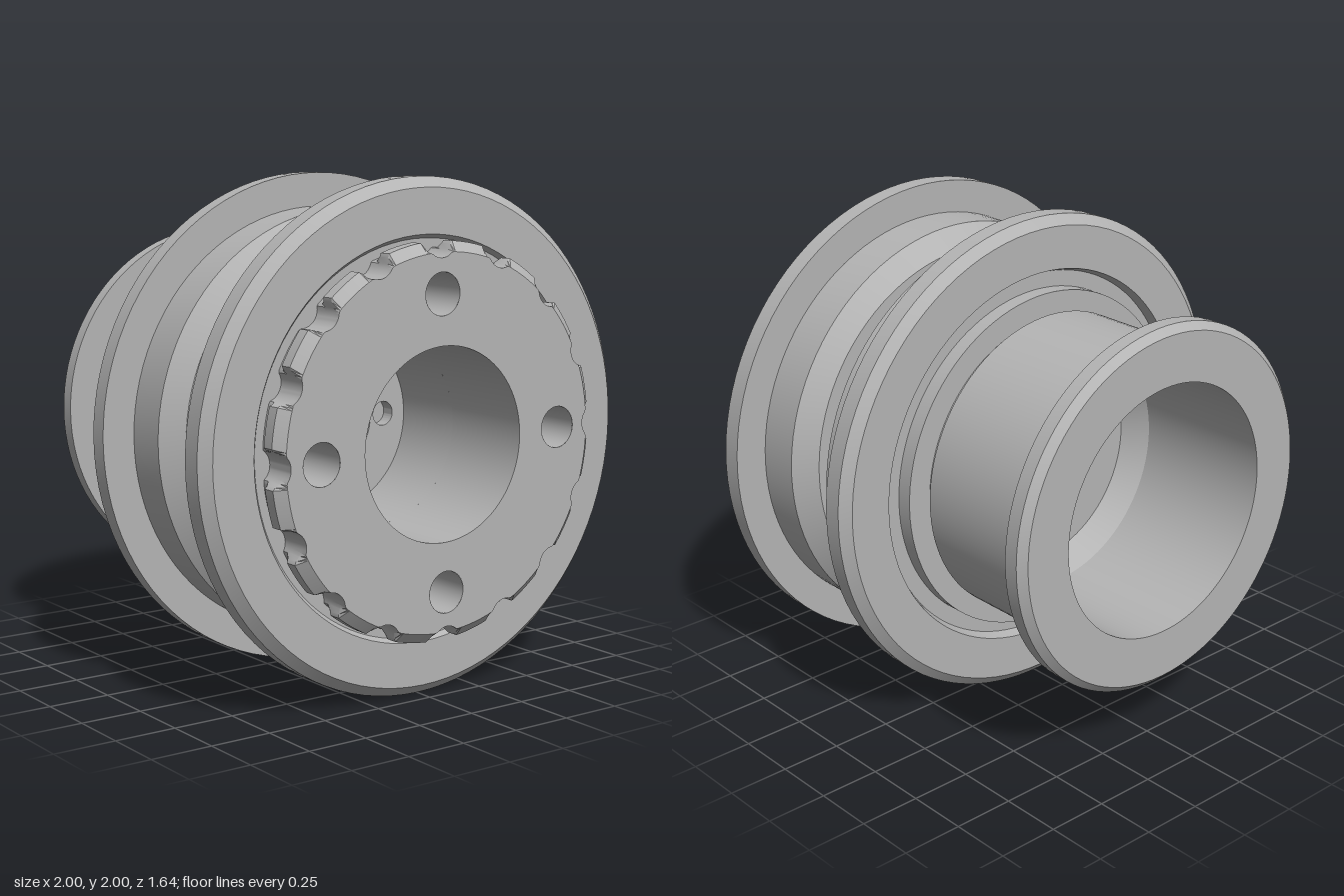
import * as THREE from 'three';
import { toCreasedNormals } from 'three/addons/utils/BufferGeometryUtils.js';

const TILT = 0.028; // slight turn of the dial about the axis

export function createModel() {
  const steel = new THREE.MeshStandardMaterial({ color: 0xb4b4b4, side: THREE.DoubleSide });
  steel.name = 'steelGrey';
  const model = new THREE.Group();
  model.name = 'flangedSpool';
  model.position.y = 1;
  const root = new THREE.Group();
  root.add(model);

  const add = (name, geometry, parent = model) => {
    const mesh = new THREE.Mesh(geometry, steel);
    mesh.name = name;
    parent.add(mesh);
    return mesh;
  };

  // Turned body: profile as [radius, z], outside from back to front, then the inside back again
  const profile = [
    [0.515, -0.82], [0.715, -0.82], [0.745, -0.79], [0.745, -0.73],   // end collar
    [0.61, -0.73], [0.61, -0.69], [0.625, -0.69], [0.625, -0.16],     // hub
    [0.605, -0.14], [0.605, -0.135], [0.705, -0.135], [0.705, -0.07], // retaining ring
    [0.77, -0.07], [0.785, -0.11], [0.96, -0.11], [1, -0.075], [1, 0], // rear flange
    [0.865, 0], [0.865, 0.18], [0.785, 0.25], [0.635, 0.25],          // rear drum
    [0.635, 0.335], [0.785, 0.335], [0.865, 0.41], [0.865, 0.59],     // groove and front drum
    [1, 0.59], [1, 0.67], [0.96, 0.71], [0.785, 0.71], [0.77, 0.69],  // front flange
    [0.67, 0.69], [0.67, 0.5], [0.64, 0.5], [0.585, 0.42],            // cavity behind the dial
    [0.375, 0.42], [0.375, 0.04], [0.2, 0.04], [0.2, -0.12],          // front bore
    [0.45, -0.12], [0.515, -0.22], [0.515, -0.82],                    // rear bore
  ].map(([r, z]) => new THREE.Vector2(r, z));
  const body = new THREE.LatheGeometry(profile, 96).rotateX(Math.PI / 2);
  add('turnedBody', toCreasedNormals(body, 0.35));

  // Dial at the front, with a scalloped rim
  const dial = new THREE.Group();
  dial.name = 'dial';
  dial.rotation.z = TILT;
  model.add(dial);

  const NOTCHES = 16, STEPS = 32, COUNT = NOTCHES * STEPS;
  const pitch = (Math.PI * 2) / NOTCHES;
  const centre = 0.772, cut = 0.068;
  const rimPoint = (i, rim) => {
    const a = (i / COUNT) * Math.PI * 2;
    const off = a - Math.round(a / pitch) * pitch;
    const d = cut * cut - (centre * Math.sin(off)) ** 2;
    const r = d > 0 ? Math.min(rim, centre * Math.cos(off) - Math.sqrt(d)) : rim;
    return new THREE.Vector2(r * Math.cos(a), r * Math.sin(a));
  };

  // Rim wall lofted through rings of [radius, z]
  const rings = [[0.735, 0.69], [0.735, 0.715], [0.765, 0.74], [0.765, 0.79], [0.725, 0.825]];
  const positions = [], index = [];
  rings.forEach(([rim, z], k) => {
    for (let i = 0; i < COUNT; i++) {
      const p = rimPoint(i, rim);
      positions.push(p.x, p.y, z);
      if (k === rings.length - 1) continue;
      const a = k * COUNT + i, b = k * COUNT + ((i + 1) % COUNT);
      index.push(a, b, b + COUNT, a, b + COUNT, a + COUNT);
    }
  });
  const rimWall = new THREE.BufferGeometry();
  rimWall.setAttribute('position', new THREE.Float32BufferAttribute(positions, 3));
  rimWall.setIndex(index);
  add('dialRim', toCreasedNormals(rimWall, 0.4), dial);

  // Dial face with the bore and four round holes
  const hole = (x, y, r) => new THREE.Path().absarc(x, y, r, 0, Math.PI * 2, true);
  const face = new THREE.Shape(Array.from({ length: COUNT }, (_, i) => rimPoint(i, 0.725)));
  face.holes.push(hole(0, 0, 0.375));
  const wall = (name, x, y, r, back, segments) => {
    const tube = new THREE.CylinderGeometry(r, r, 0.825 - back, segments, 1, true);
    tube.rotateX(Math.PI / 2).translate(x, y, (0.825 + back) / 2);
    // turn the wall inside out so it faces the axis
    const idx = tube.index.array;
    for (let i = 0; i < idx.length; i += 3) [idx[i], idx[i + 1]] = [idx[i + 1], idx[i]];
    for (let i = 0; i < tube.attributes.normal.array.length; i++) tube.attributes.normal.array[i] *= -1;
    add(name, tube, dial);
  };
  for (let i = 0; i < 4; i++) {
    const a = (i * Math.PI) / 2;
    const x = 0.57 * Math.cos(a), y = 0.57 * Math.sin(a);
    face.holes.push(hole(x, y, 0.082));
    wall('dialHole', x, y, 0.082, 0.6, 32);
  }
  wall('dialBore', 0, 0, 0.375, 0.42, 96);
  add('dialFace', new THREE.ShapeGeometry(face, 48).translate(0, 0, 0.825), dial);

  // Plate deep in the bore with a centre hole and two pin holes
  const plate = new THREE.Shape().absarc(0, 0, 0.375, 0, Math.PI * 2, false);
  plate.holes.push(hole(0, 0, 0.2), hole(0.265, 0, 0.05), hole(-0.265, 0, 0.05));
  const plateGeometry = new THREE.ExtrudeGeometry(plate, { depth: 0.058, bevelEnabled: false, curveSegments: 48 });
  add('borePlate', toCreasedNormals(plateGeometry.translate(0, 0, 0.042), 0.4), dial);

  return root;
}
